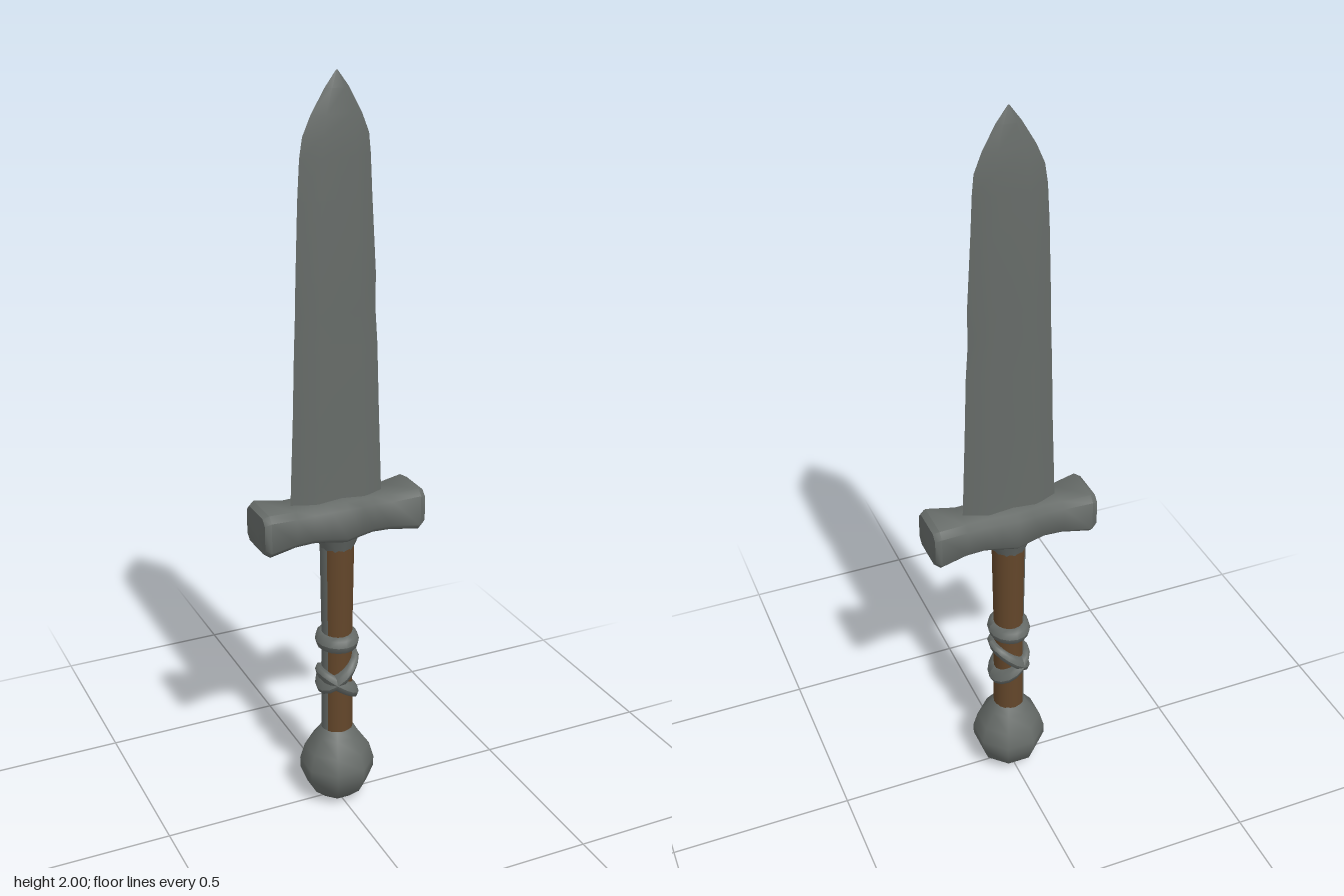
import * as THREE from 'three';
import { toCreasedNormals } from 'three/addons/utils/BufferGeometryUtils.js';

// Skin a list of closed cross-sections (arrays of [x, y, z]) and cap both ends.
function loft(rings, crease) {
  const n = rings[0].length, last = rings.length - 1;
  const pos = rings.flat(2), index = [];
  for (let i = 0; i < last; i++) {
    for (let j = 0; j < n; j++) {
      const a = i * n + j, b = i * n + (j + 1) % n;
      index.push(a, b, b + n, a, b + n, a + n);
    }
  }
  for (const end of [0, last]) {
    const c = pos.length / 3;
    for (let k = 0; k < 3; k++) pos.push(rings[end].reduce((s, p) => s + p[k], 0) / n);
    for (let j = 0; j < n; j++) {
      const a = end * n + j, b = end * n + (j + 1) % n;
      if (end) index.push(c, a, b); else index.push(c, b, a);
    }
  }
  const g = new THREE.BufferGeometry();
  g.setAttribute('position', new THREE.Float32BufferAttribute(pos, 3));
  g.setIndex(index);
  return toCreasedNormals(g, crease);
}

function lathe(points, sides, start = 0, length = Math.PI * 2) {
  return new THREE.LatheGeometry(points.map(p => new THREE.Vector2(...p)), sides, start, length);
}

export function createModel() {
  const metal = new THREE.MeshStandardMaterial({ color: 0x666b68 });
  metal.name = 'grey metal';
  const leather = new THREE.MeshStandardMaterial({ color: 0x63462a });
  leather.name = 'brown leather';

  const sword = new THREE.Group();
  sword.name = 'sword';
  const add = (name, geometry, material) => {
    const mesh = new THREE.Mesh(geometry, material);
    mesh.name = name;
    sword.add(mesh);
    return mesh;
  };

  // Blade: hexagonal section; rows are height, left edge, right edge, half thickness
  const bladeRows = [
    [0.88, 0.132, 0.13, 0.032], [0.95, 0.13, 0.127, 0.03], [1.15, 0.122, 0.119, 0.028],
    [1.32, 0.117, 0.113, 0.026], [1.42, 0.113, 0.106, 0.025], [1.5, 0.111, 0.107, 0.025],
    [1.7, 0.104, 0.095, 0.022], [1.8, 0.098, 0.09, 0.02], [1.85, 0.09, 0.085, 0.019],
    [1.9, 0.068, 0.065, 0.016], [1.96, 0.032, 0.032, 0.01], [2.0, 0.002, 0.002, 0.001],
  ];
  add('blade', loft(bladeRows.map(([y, l, r, t]) => [
    [r, y, 0], [r * 0.5, y, -t], [-l * 0.5, y, -t],
    [-l, y, 0], [-l * 0.5, y, t], [r * 0.5, y, t],
  ]), 0.6), metal);

  // Crossguard: bevelled section swept along x; rows are x, half depth, bottom, top
  const half = [[0, 0.075, 0.808, 0.922], [0.045, 0.066, 0.812, 0.918], [0.085, 0.057, 0.814, 0.914],
    [0.135, 0.057, 0.812, 0.912], [0.212, 0.07, 0.804, 0.92], [0.228, 0.062, 0.814, 0.912]];
  const guardRows = [...half.slice(1).reverse().map(([x, ...r]) => [-x, ...r]), ...half];
  const bevel = 0.016;
  add('crossguard', loft(guardRows.map(([x, d, lo, hi]) => [
    [x, hi, -d + bevel], [x, hi, d - bevel], [x, hi - bevel, d], [x, lo + bevel, d],
    [x, lo, d - bevel], [x, lo, -d + bevel], [x, lo + bevel, -d], [x, hi - bevel, -d],
  ]), 0.9), metal);

  // Collar under the guard
  add('collar', lathe([[0.042, 0.765], [0.05, 0.785], [0.064, 0.82]], 12), metal);

  // Grip: leather with a bare metal strip on one side
  const gripProfile = [[0.044, 0.18], [0.043, 0.3], [0.042, 0.42], [0.042, 0.52],
    [0.044, 0.65], [0.046, 0.79]];
  const stripStart = Math.PI * 1.25, stripLength = Math.PI * 0.42;
  add('grip', lathe(gripProfile, 14, stripStart + stripLength, Math.PI * 2 - stripLength), leather);
  add('gripStrip', lathe(gripProfile, 5, stripStart, stripLength), metal);

  // Wraps: one level band and two crossing bands; each leans by a slope along x
  [['upperWrap', 0.496, 0, 1.45], ['risingWrap', 0.4, 0.8, 1.3], ['fallingWrap', 0.365, -0.65, 1.3]]
    .forEach(([name, y, slope, tall]) => {
      const g = new THREE.TorusGeometry(0.042, 0.017, 8, 16);
      g.rotateX(Math.PI / 2);
      g.scale(1, tall, 1.12);
      const p = g.attributes.position;
      for (let i = 0; i < p.count; i++) p.setY(i, p.getY(i) + y + slope * p.getX(i));
      g.computeVertexNormals();
      add(name, g, metal);
    });

  // Pommel: eight-sided ball with a short neck
  add('pommel', lathe([[0, 0], [0.046, 0.006], [0.084, 0.04], [0.102, 0.085], [0.103, 0.115],
    [0.09, 0.16], [0.06, 0.2], [0.047, 0.222], [0.04, 0.226]], 8, Math.PI / 8), metal);

  return sword;
}
